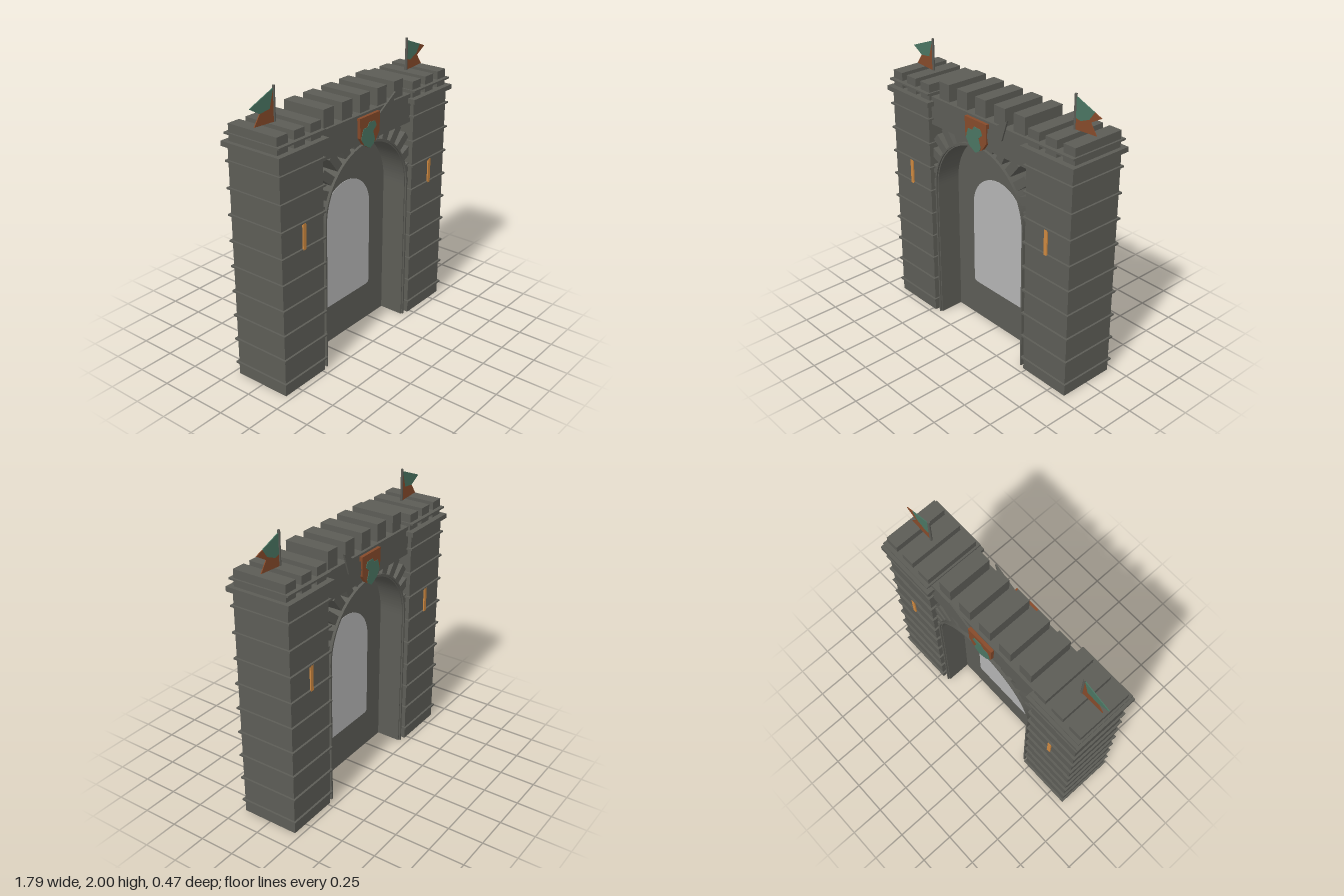
import * as THREE from 'three';

const mat = (name, color, side = THREE.FrontSide) => {
  const m = new THREE.MeshStandardMaterial({ color, side });
  m.name = name;
  return m;
};

export function createModel() {
  const stone = mat('dark stone', 0x5c5c56);
  const mist = mat('portal grey', 0xb4b4b4);
  const amber = mat('window amber', 0xcd8840);
  const rust = mat('rust cloth', 0x864a2a, THREE.DoubleSide);
  const green = mat('green cloth', 0x4a7562, THREE.DoubleSide);

  const root = new THREE.Group();
  root.name = 'castleGate';

  const add = (parent, name, geometry, material, x = 0, y = 0, z = 0) => {
    const m = new THREE.Mesh(geometry, material);
    m.name = name;
    m.position.set(x, y, z);
    parent.add(m);
    return m;
  };
  // Box given by its centre in x and z and its bottom and top in y
  const block = (parent, name, x, y0, y1, w, d, material = stone, z = 0) =>
    add(parent, name, new THREE.BoxGeometry(w, y1 - y0, d), material, x, (y0 + y1) / 2, z);
  const polygon = pts => new THREE.Shape(pts.map(p => new THREE.Vector2(...p)));
  // Shape extruded evenly about z = 0
  const slab = (shape, depth) =>
    new THREE.ExtrudeGeometry(shape, { depth, bevelEnabled: false, curveSegments: 32 })
      .translate(0, 0, -depth / 2);

  // Towers with string courses, cap, merlons and slit windows
  for (const s of [-1, 1]) {
    const tower = new THREE.Group();
    tower.name = s < 0 ? 'rightTower' : 'leftTower';
    tower.position.x = s * 0.67;
    root.add(tower);
    block(tower, 'towerBody', 0, 0, 1.65, 0.39, 0.414);
    for (let i = 0; i < 10; i++) {
      const y = 0.092 + i * 0.18;
      block(tower, 'stringCourse', 0, y - 0.006, y + 0.006, 0.418, 0.444);
    }
    block(tower, 'towerCap', 0, 1.63, 1.663, 0.448, 0.47);
    for (const x of [-0.148, 0, 0.148]) block(tower, 'towerMerlon', x, 1.66, 1.775, 0.095, 0.39);
    for (const z of [-1, 1]) block(tower, 'slitWindow', 0, 0.99, 1.17, 0.027, 0.009, amber, z * 0.2185);
    add(tower, 'flagPole', new THREE.CylinderGeometry(0.009, 0.009, 0.34, 10), stone, 0, 1.83, 0);
  }

  // Swallowtail flags, each split into its two cloth colours
  const flags = [
    {
      name: 'rightFlag', side: -1,
      green: [[0.675, 1.985], [0.88, 1.905], [0.795, 1.855], [0.71, 1.865], [0.695, 1.92]],
      rust: [[0.675, 1.985], [0.695, 1.92], [0.71, 1.865], [0.795, 1.855], [0.845, 1.785], [0.675, 1.775]],
    },
    {
      name: 'leftFlag', side: 1,
      green: [[0.675, 1.985], [0.825, 1.927], [0.785, 1.87], [0.715, 1.84], [0.675, 1.85]],
      rust: [[0.825, 1.927], [0.88, 1.905], [0.795, 1.855], [0.845, 1.785], [0.675, 1.775],
        [0.675, 1.85], [0.715, 1.84], [0.785, 1.87]],
    },
  ];
  for (const f of flags) {
    const flag = new THREE.Group();
    flag.name = f.name;
    root.add(flag);
    const sided = pts => polygon(pts.map(([x, y]) => [f.side * x, y]));
    add(flag, 'greenCloth', slab(sided(f.green), 0.006), green);
    add(flag, 'rustCloth', slab(sided(f.rust), 0.006), rust);
  }

  // Wall over the arch with its battlements
  block(root, 'bridgeWall', 0, 1.49, 1.69, 0.95, 0.36);
  for (let i = -2; i <= 2; i++) block(root, 'wallMerlon', i * 0.18, 1.69, 1.81, 0.1, 0.32);

  // Round-headed outline standing on the ground
  const springY = 1.05;
  const archOutline = (path, r) => {
    path.moveTo(-r, 0);
    path.lineTo(r, 0);
    path.lineTo(r, springY);
    path.absarc(0, springY, r, 0, Math.PI, false);
    path.lineTo(-r, 0);
    return path;
  };

  // Arch lining: a thin shell, open at the bottom
  const lining = new THREE.Shape();
  lining.moveTo(0.442, 0);
  lining.lineTo(0.442, springY);
  lining.absarc(0, springY, 0.442, 0, Math.PI, false);
  lining.lineTo(-0.442, 0);
  lining.lineTo(-0.422, 0);
  lining.lineTo(-0.422, springY);
  lining.absarc(0, springY, 0.422, Math.PI, 0, true);
  lining.lineTo(0.422, 0);
  add(root, 'archLining', slab(lining, 0.37), stone);

  // Raised trim on both mouths of the arch
  const rim = new THREE.Shape();
  rim.moveTo(0.442, 0);
  rim.lineTo(0.442, springY);
  rim.absarc(0, springY, 0.442, 0, Math.PI, false);
  rim.lineTo(-0.442, 0);
  rim.lineTo(-0.43, 0);
  rim.lineTo(-0.43, springY);
  rim.absarc(0, springY, 0.43, Math.PI, 0, true);
  rim.lineTo(0.43, 0);
  for (const z of [-1, 1]) add(root, 'archTrim', slab(rim, 0.014), stone, 0, 0, z * 0.19);

  // Radiating arch stones
  for (let i = 0; i <= 14; i++) {
    const a = (i / 14) * Math.PI;
    const v = add(root, 'archStone', new THREE.BoxGeometry(0.14, 0.06, 0.356), stone,
      Math.cos(a) * 0.5, springY + Math.sin(a) * 0.5, 0);
    v.rotation.z = a;
  }

  // Closing panel in the middle of the passage with a pale portal on both sides
  add(root, 'gatePanel', slab(archOutline(new THREE.Shape(), 0.425), 0.012), stone);
  const portal = new THREE.Shape();
  portal.moveTo(-0.225, 0.28);
  portal.lineTo(0.225, 0.28);
  portal.quadraticCurveTo(0.255, 0.28, 0.255, 0.31);
  portal.lineTo(0.255, 0.915);
  portal.absarc(0, 0.915, 0.255, 0, Math.PI, false);
  portal.lineTo(-0.255, 0.31);
  portal.quadraticCurveTo(-0.255, 0.28, -0.225, 0.28);
  for (const z of [-1, 1]) add(root, 'portal', slab(portal, 0.004), mist, 0, 0, z * 0.007);

  // Shield with a green patch and a side blade, on the front and the back
  const shield = polygon([[-0.105, 1.675], [0.105, 1.675], [0.1, 1.54], [0.06, 1.485],
    [0, 1.45], [-0.06, 1.485], [-0.1, 1.54]]);
  const patch = polygon([[-0.085, 1.56], [-0.07, 1.6], [-0.03, 1.6], [-0.01, 1.63], [0.05, 1.625],
    [0.065, 1.59], [0.03, 1.56], [0.05, 1.5], [0.04, 1.474], [0, 1.45], [-0.06, 1.485], [-0.09, 1.53]]);
  const blade = polygon([[0.09, 1.635], [0.18, 1.69], [0.285, 1.755], [0.235, 1.605], [0.11, 1.54]]);
  for (const s of [-1, 1]) {
    const emblem = new THREE.Group();
    emblem.name = s > 0 ? 'frontEmblem' : 'backEmblem';
    root.add(emblem);
    add(emblem, 'shield', slab(shield, 0.024), rust, 0, 0, s * 0.191);
    add(emblem, 'shieldPatch', slab(patch, 0.004), green, 0, 0, s * 0.204);
    add(emblem, 'sideBlade', slab(blade, 0.012), stone, 0, 0, s * 0.187);
  }

  return root;
}
